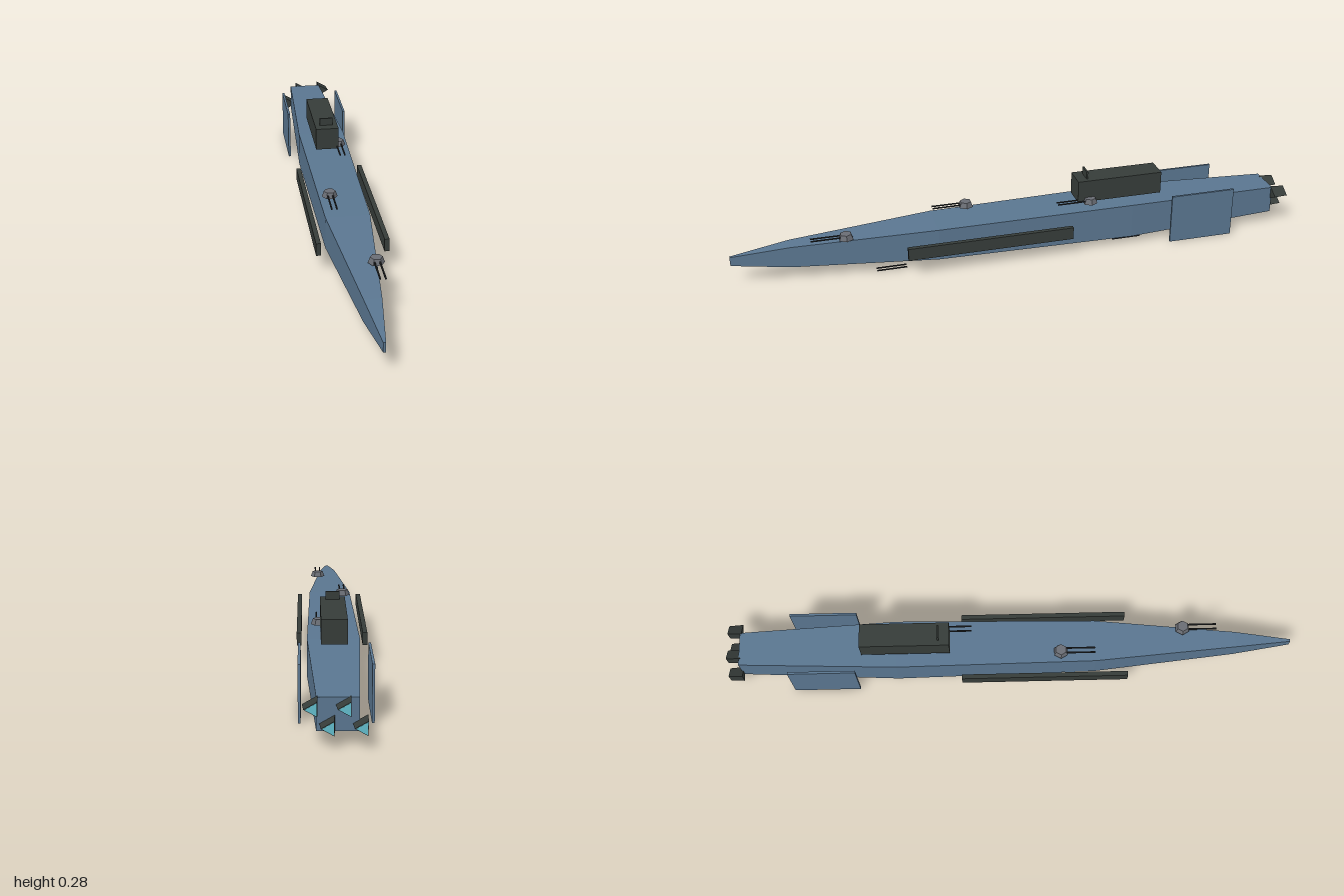
import * as THREE from 'three';

const paint = (name, color) => {
  const m = new THREE.MeshStandardMaterial({ color, flatShading: true });
  m.name = name;
  return m;
};

export function createModel() {
  const hullBlue = paint('hull blue', 0x5a7690);
  const darkPlate = paint('dark plating', 0x363c39);
  const turretGrey = paint('turret grey', 0x6a6d74);
  const gunBlack = paint('gun metal', 0x26282a);
  const glowCyan = paint('engine glow', 0x62bccb);

  const ship = new THREE.Group();
  ship.name = 'ship';

  const add = (name, geometry, material, x = 0, y = 0, z = 0, parent = ship) => {
    const mesh = new THREE.Mesh(geometry, material);
    mesh.name = name;
    mesh.position.set(x, y, z);
    parent.add(mesh);
    return mesh;
  };
  const box = (name, w, h, d, material, x, y, z) =>
    add(name, new THREE.BoxGeometry(w, h, d), material, x, y, z);

  // Hull: rectangular sections [z, half width, half height], nose to stern
  const sections = [
    [1, 0.004, 0.016], [0.8, 0.028, 0.038], [0.3, 0.075, 0.057],
    [-0.4, 0.085, 0.0625], [-0.955, 0.06, 0.049],
  ];
  const rings = sections.map(([z, w, h]) =>
    [[w, h], [-w, h], [-w, -h], [w, -h]].map(([x, y]) => [x, y + 0.0905, z]));
  const corners = [];
  const quad = (a, b, c, d) => corners.push(...a, ...b, ...c, ...a, ...c, ...d);
  for (let i = 0; i < rings.length - 1; i++) {
    const [front, back] = [rings[i], rings[i + 1]];
    for (let j = 0; j < 4; j++) {
      const k = (j + 1) % 4;
      quad(front[j], back[j], back[k], front[k]);
    }
  }
  quad(...rings[0]);
  quad(...[...rings[rings.length - 1]].reverse());
  const hull = new THREE.BufferGeometry();
  hull.setAttribute('position', new THREE.Float32BufferAttribute(corners, 3));
  hull.computeVertexNormals();
  add('hull', hull, hullBlue);

  // Side armour and stern fins
  for (const [side, s] of [['left', 1], ['right', -1]]) {
    box(side + 'Armour', 0.016, 0.044, 0.585, darkPlate, s * 0.112, 0.0915, 0.122);
    box(side + 'Fin', 0.008, 0.18, 0.235, hullBlue, s * 0.108, 0.09, -0.657);
  }

  // Bridge tower with its mast plate
  box('bridge', 0.083, 0.08, 0.31, darkPlate, 0, 0.208, -0.365);
  box('mastPlate', 0.047, 0.028, 0.006, darkPlate, 0, 0.261, -0.248);

  // Pair of gun barrels pointing forward
  const barrels = (parent, length, z) => {
    for (const s of [-1, 1]) {
      const barrel = new THREE.CylinderGeometry(0.003, 0.003, length, 6).rotateX(Math.PI / 2);
      add('barrel', barrel, gunBlack, s * 0.0085, 0, z, parent);
    }
  };
  const mount = (name, x, y, z) => {
    const group = new THREE.Group();
    group.name = name;
    group.position.set(x, y, z);
    ship.add(group);
    return group;
  };

  // Deck turrets: hexagonal bases
  for (const [x, y, z] of [[0.042, 0.153, 0.612], [-0.044, 0.175, 0.178], [0.045, 0.175, -0.253]]) {
    const turret = mount('deckTurret', x, y, z);
    const base = new THREE.CylinderGeometry(0.02, 0.027, 0.019, 6).rotateY(Math.PI / 6);
    add('turretBase', base, turretGrey, 0, 0, 0, turret);
    barrels(turret, 0.12, 0.06);
  }

  // Keel guns, alternating sides
  for (const [x, z] of [[0.043, 0.463], [-0.043, 0.037], [0.043, -0.393]]) {
    barrels(mount('keelGun', x, 0.008, z), 0.104, 0);
  }

  // Staggered three-sided engine nozzles with glowing ends
  const prism = (back, front, length) =>
    new THREE.CylinderGeometry(back, front, length, 3).rotateY(Math.PI / 2).rotateX(-Math.PI / 2);
  for (const [x, y] of [[0.07, 0.118], [0.023, 0.063], [-0.023, 0.118], [-0.07, 0.063]]) {
    add('engineNozzle', prism(0.025, 0.029, 0.049), darkPlate, x, y, -0.9745);
    add('engineGlow', prism(0.022, 0.022, 0.002), glowCyan, x, y, -0.999);
  }

  return ship;
}
